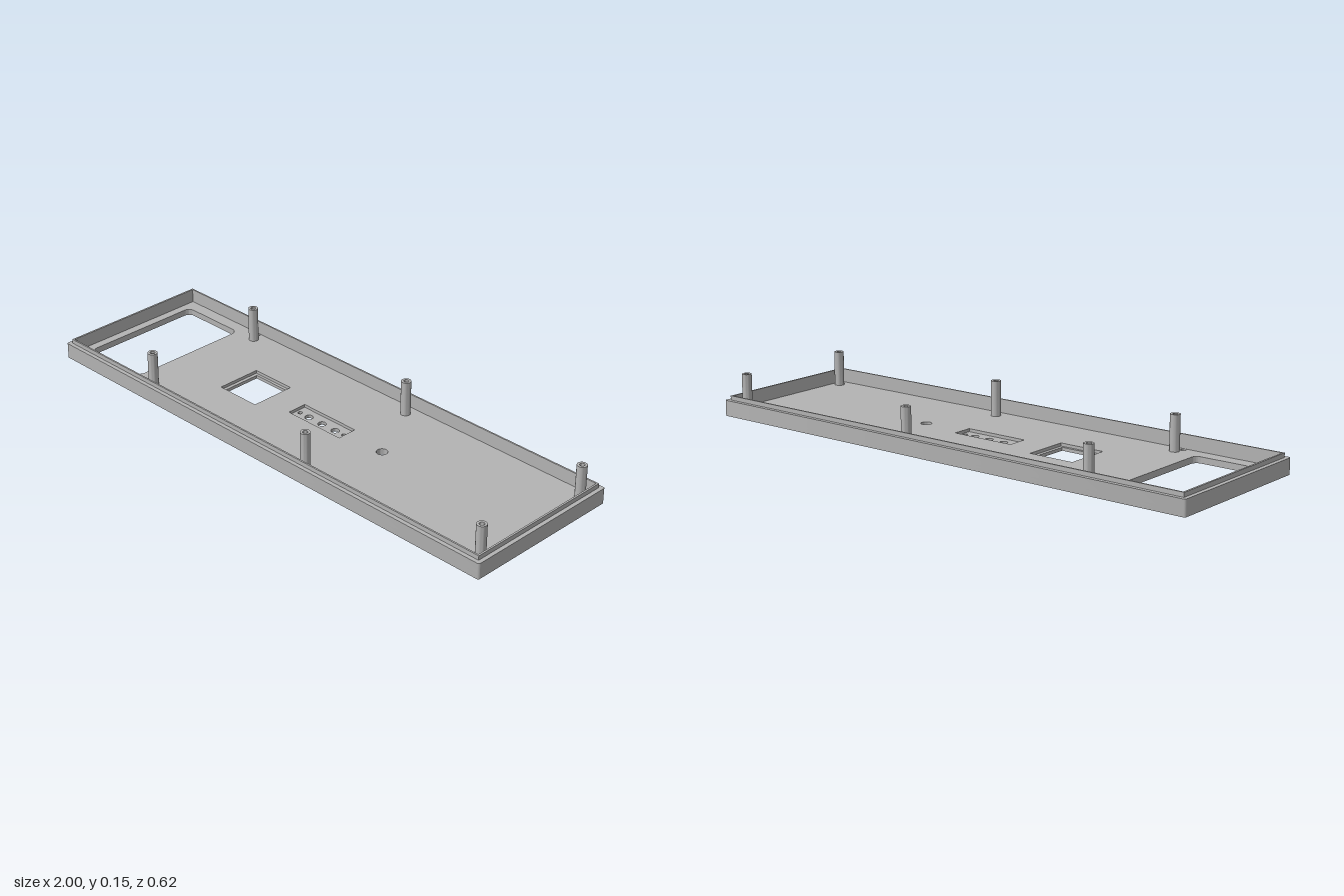
import * as THREE from 'three';
import { toCreasedNormals } from 'three/addons/utils/BufferGeometryUtils.js';

// Rounded rectangle outline centred on (cx, cz)
function roundRect(path, cx, cz, w, d, r) {
  const x = w / 2, z = d / 2;
  path.moveTo(cx - x + r, cz - z);
  path.lineTo(cx + x - r, cz - z);
  path.absarc(cx + x - r, cz - z + r, r, -Math.PI / 2, 0);
  path.lineTo(cx + x, cz + z - r);
  path.absarc(cx + x - r, cz + z - r, r, 0, Math.PI / 2);
  path.lineTo(cx - x + r, cz + z);
  path.absarc(cx - x + r, cz + z - r, r, Math.PI / 2, Math.PI);
  path.lineTo(cx - x, cz - z + r);
  path.absarc(cx - x + r, cz - z + r, r, Math.PI, Math.PI * 1.5);
  return path;
}

function rect(path, cx, cz, w, d) {
  const x = w / 2, z = d / 2;
  path.moveTo(cx - x, cz - z);
  path.lineTo(cx + x, cz - z);
  path.lineTo(cx + x, cz + z);
  path.lineTo(cx - x, cz + z);
  path.closePath();
  return path;
}

function circle(path, cx, cz, r) {
  path.absarc(cx, cz, r, 0, Math.PI * 2);
  return path;
}

export function createModel() {
  const group = new THREE.Group();
  const plastic = new THREE.MeshStandardMaterial({ color: 0xb3b3b3 });
  plastic.name = 'grey plastic';

  // Extrude a plan shape (x, z) between two heights
  function slab(name, shape, holes, y0, y1) {
    shape.holes.push(...holes);
    const geo = new THREE.ExtrudeGeometry(shape, { depth: y1 - y0, bevelEnabled: false, curveSegments: 10 });
    geo.rotateX(Math.PI / 2).translate(0, y1, 0);
    const mesh = new THREE.Mesh(toCreasedNormals(geo, 0.7), plastic);
    mesh.name = name;
    group.add(mesh);
  }

  const hole = (x, z, r) => circle(new THREE.Path(), x, z, r);
  const body = () => roundRect(new THREE.Shape(), 0, 0, 2, 0.616, 0.007);
  const cavity = () => rect(new THREE.Path(), 0, 0, 1.956, 0.574);
  const posts = [];
  for (const x of [-0.59, 0.18, 0.95]) for (const z of [-0.243, 0.243]) posts.push([x, z]);

  // Openings that run through the whole floor
  const through = () => [
    roundRect(new THREE.Path(), -0.812, -0.002, 0.268, 0.476, 0.025),
    hole(0.3, 0, 0.02),
    hole(-0.605, -0.275, 0.01),
    hole(-0.605, 0.275, 0.01),
  ];

  // Lower floor layer: display cut-out, row of small holes, screw counterbores
  slab('lowerFloor', body(), [
    ...through(),
    rect(new THREE.Path(), -0.32, 0, 0.15, 0.15),
    ...[-0.05, 0.014, 0.078].map((x) => hole(x, 0, 0.015)),
    ...[-0.094, 0.12].map((x) => hole(x, 0, 0.008)),
    ...posts.map(([x, z]) => hole(x, z, 0.016)),
  ], 0, 0.012);

  // Upper floor layer: wider recesses around the cut-outs
  slab('upperFloor', body(), [
    ...through(),
    rect(new THREE.Path(), -0.32, 0, 0.176, 0.172),
    rect(new THREE.Path(), 0.012, 0, 0.245, 0.076),
    ...posts.map(([x, z]) => hole(x, z, 0.009)),
  ], 0.012, 0.023);

  // Side walls and the thin raised lip
  slab('sideWalls', body(), [cavity()], 0.023, 0.058);
  slab('lip', rect(new THREE.Shape(), 0, 0, 1.97, 0.586), [cavity()], 0.058, 0.074);

  // Hollow screw posts
  for (const [x, z] of posts) {
    slab('screwPost', circle(new THREE.Shape(), x, z, 0.018), [hole(x, z, 0.009)], 0.023, 0.152);
  }

  return group;
}
